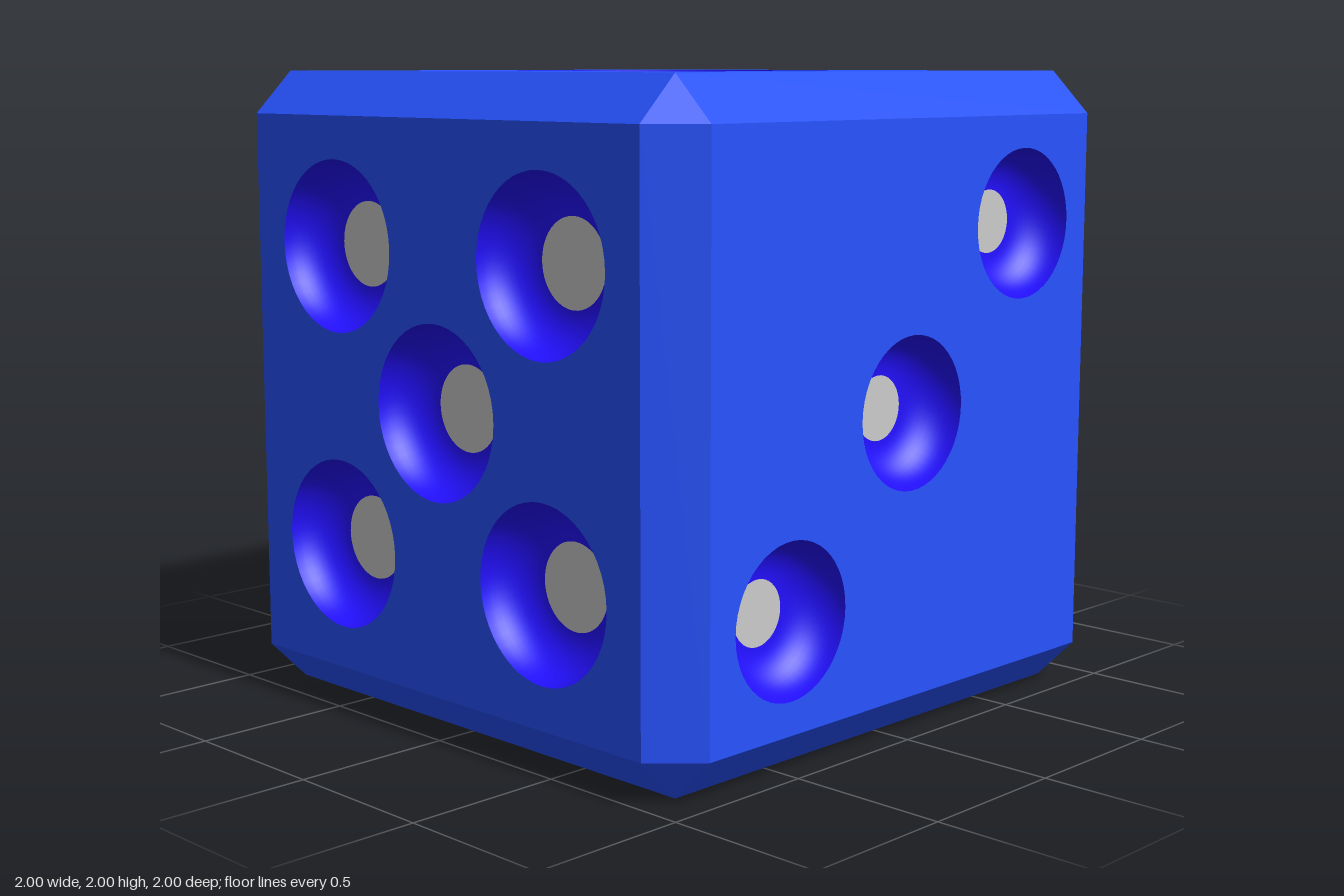
import * as THREE from 'three';

const BEVEL = 0.1333;        // chamfer width and pip depth
const H = 1 - BEVEL;         // half width of a flat face
const SEGMENTS = 48;

const bodyMaterial = new THREE.MeshStandardMaterial({ color: 0x2753ff });
const wallMaterial = new THREE.MeshStandardMaterial({ color: 0x2310ff });
const floorMaterial = new THREE.MeshStandardMaterial({ color: 0xcccccc });

function addMesh(parent, name, geometry, material) {
  const mesh = new THREE.Mesh(geometry, material);
  mesh.name = name;
  parent.add(mesh);
  return mesh;
}

// Round pit with a concave quarter-round wall and a flat floor, opening to +z
function createPip(x, y, radius) {
  const pip = new THREE.Group();
  pip.name = 'pip';
  const floorRadius = radius - BEVEL;
  const profile = [];
  for (let i = 0; i <= 12; i++) {
    const t = (1 - i / 12) * Math.PI / 2;
    profile.push(new THREE.Vector2(floorRadius + BEVEL * Math.sin(t), -BEVEL * Math.cos(t)));
  }
  const wall = new THREE.LatheGeometry(profile, SEGMENTS).rotateX(Math.PI / 2);
  addMesh(pip, 'pipWall', wall, wallMaterial);
  const floor = addMesh(pip, 'pipFloor', new THREE.CircleGeometry(floorRadius, SEGMENTS), floorMaterial);
  floor.position.z = -BEVEL;
  pip.position.set(x, y, 1);
  return pip;
}

// Flat square face pierced by its pips, facing +z
function createFace(name, radius, spots) {
  const face = new THREE.Group();
  face.name = name;
  const shape = new THREE.Shape([[-H, -H], [H, -H], [H, H], [-H, H]].map(p => new THREE.Vector2(...p)));
  for (const [x, y] of spots) {
    shape.holes.push(new THREE.Path().absarc(x, y, radius, 0, Math.PI * 2, true));
    face.add(createPip(x, y, radius));
  }
  const panel = addMesh(face, 'facePanel', new THREE.ShapeGeometry(shape, SEGMENTS / 2), bodyMaterial);
  panel.position.z = 1;
  return face;
}

// Twelve chamfered edges and eight corner triangles
function createChamfers() {
  const positions = [];
  const addTriangle = (a, b, c) => {
    const normal = b.clone().sub(a).cross(c.clone().sub(a));
    const order = normal.dot(a) > 0 ? [a, b, c] : [a, c, b];
    order.forEach(p => positions.push(p.x, p.y, p.z));
  };
  const signs = [-1, 1];
  for (let axis = 0; axis < 3; axis++) {
    const point = (along, u, v) => {
      const p = new THREE.Vector3();
      return p.setComponent(axis, along).setComponent((axis + 1) % 3, u).setComponent((axis + 2) % 3, v);
    };
    for (const s of signs) for (const t of signs) {
      const a = point(-H, s, t * H), b = point(H, s, t * H);
      const c = point(H, s * H, t), d = point(-H, s * H, t);
      addTriangle(a, b, c);
      addTriangle(a, c, d);
    }
  }
  for (const x of signs) for (const y of signs) for (const z of signs) {
    addTriangle(
      new THREE.Vector3(x, y * H, z * H),
      new THREE.Vector3(x * H, y, z * H),
      new THREE.Vector3(x * H, y * H, z)
    );
  }
  const geometry = new THREE.BufferGeometry();
  geometry.setAttribute('position', new THREE.Float32BufferAttribute(positions, 3));
  geometry.computeVertexNormals();
  return geometry;
}

export function createModel() {
  const model = new THREE.Group();
  model.name = 'die';
  model.position.y = 1;
  const corners = (x, y) => [[-x, -y], [x, -y], [x, y], [-x, y]];
  const quarter = Math.PI / 2;

  // name, pip radius, pip centres, rotation about x and y
  const faces = [
    ['topFaceOne', 0.5, [[0, 0]], -quarter, 0],
    ['sideFaceTwo', 0.4, [[-0.333, 0.333], [0.333, -0.333]], 0, quarter],
    ['frontFaceThree', 0.233, [[-0.533, -0.533], [0, 0], [0.533, 0.533]], 0, 0],
    ['backFaceFour', 0.267, corners(0.4, 0.4), 0, Math.PI],
    ['sideFaceFive', 0.267, [...corners(0.467, 0.467), [0, 0]], 0, -quarter],
    ['bottomFaceSix', 0.233, [...corners(0.533, 0.467), [0, 0.467], [0, -0.467]], quarter, 0],
  ];
  for (const [name, radius, spots, rx, ry] of faces) {
    const face = createFace(name, radius, spots);
    face.rotation.set(rx, ry, 0);
    model.add(face);
  }
  addMesh(model, 'chamferedEdges', createChamfers(), bodyMaterial);

  const root = new THREE.Group();
  root.name = 'dieModel';
  root.add(model);
  return root;
}
